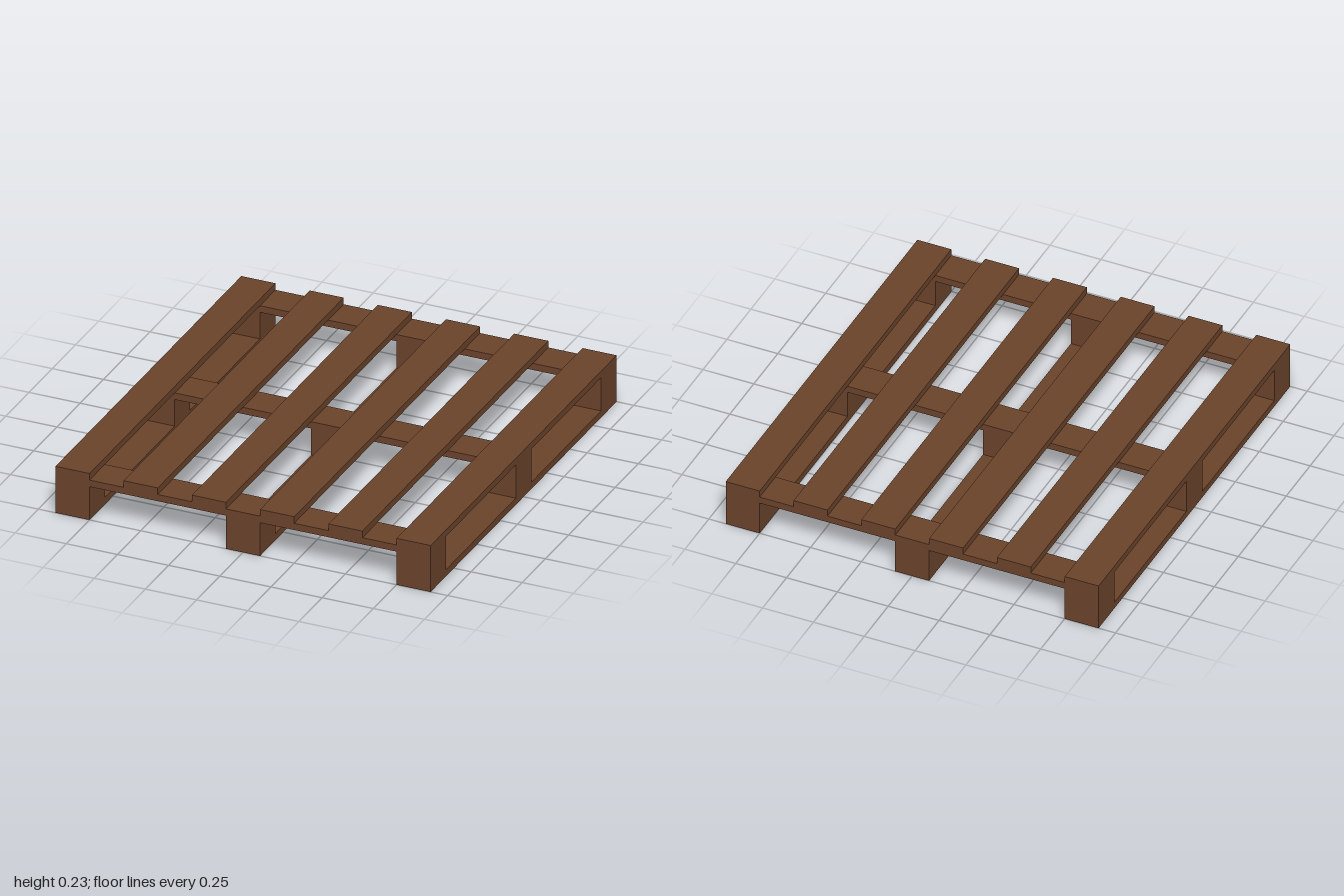
import * as THREE from 'three';

const W = 1 / 6;   // width of every board and block
const T = 1 / 30;  // board thickness
const TOP = 0.2;   // underside of the deck boards

export function createModel() {
  const pallet = new THREE.Group();
  pallet.name = 'pallet';
  const wood = new THREE.MeshStandardMaterial({ color: 0x6b432b });

  // Box given by its centre in x and z and its bottom height
  const add = (name, w, h, d, x, bottom, z) => {
    const mesh = new THREE.Mesh(new THREE.BoxGeometry(w, h, d), wood);
    mesh.name = name;
    mesh.position.set(x, bottom + h / 2, z);
    pallet.add(mesh);
  };

  // Deck boards running front to back
  for (const i of [-5, -3, -1, 1, 3, 5]) add('deckBoard', W, T, 2, i * W, TOP, 0);

  // Bottom runners
  for (const x of [-5 * W, 0, 5 * W]) add('bottomRunner', W, T, 2, x, 0, 0);

  for (const z of [-5.5 * W, 0, 5.5 * W]) {
    // Blocks between runners and deck
    for (const x of [-5 * W, 0, 5 * W]) add('block', W, TOP - T, W, x, T, z);
    // Cross boards spanning from block to block
    for (const side of [-1, 1]) add('crossBoard', 4 * W, T, W, side * 2.5 * W, TOP - T, z);
  }
  return pallet;
}
